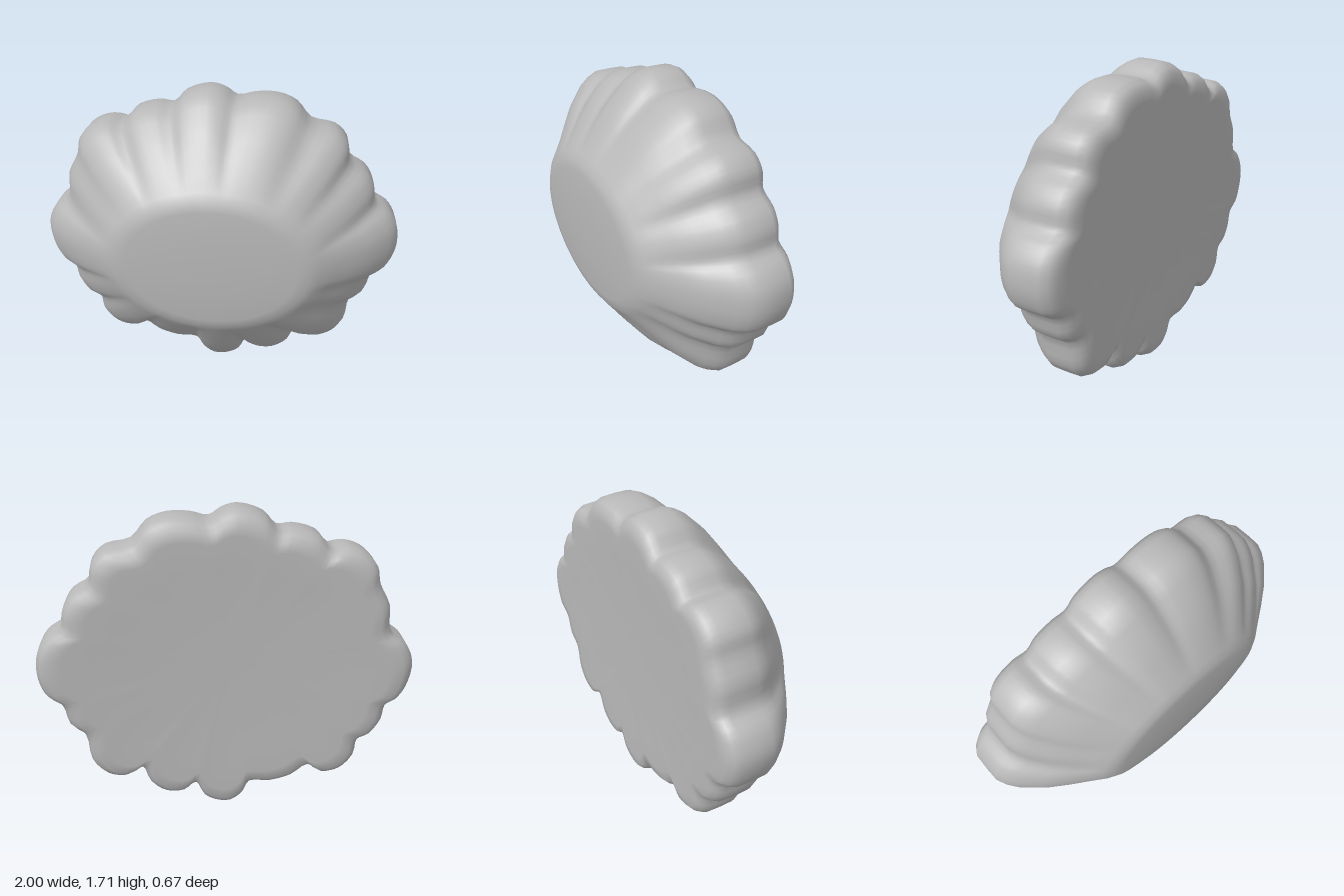
import * as THREE from 'three';

// Lobes of the scalloped rim, counterclockwise; each row ends in the valley between two lobes
const LOBES = [
  [[1, 0.88], [0.985, 0.98], [0.93, 1.06], [0.855, 1.11]],
  [[0.84, 1.2], [0.79, 1.28], [0.7, 1.34]],
  [[0.68, 1.44], [0.61, 1.51], [0.48, 1.54]],
  [[0.4, 1.63], [0.3, 1.67], [0.18, 1.67], [0.085, 1.65]],
  [[0.02, 1.69], [-0.06, 1.71], [-0.19, 1.67], [-0.26, 1.6]],
  [[-0.34, 1.605], [-0.46, 1.57], [-0.53, 1.5]],
  [[-0.61, 1.51], [-0.7, 1.48], [-0.77, 1.41], [-0.79, 1.32]],
  [[-0.85, 1.2], [-0.865, 1.06]],
  [[-0.95, 0.99], [-1, 0.88], [-0.99, 0.76], [-0.95, 0.67], [-0.88, 0.62]],
  [[-0.86, 0.52], [-0.81, 0.44], [-0.74, 0.4]],
  [[-0.72, 0.29], [-0.65, 0.21], [-0.55, 0.19], [-0.47, 0.24]],
  [[-0.37, 0.17], [-0.25, 0.135], [-0.13, 0.135]],
  [[-0.09, 0.06], [-0.02, 0.005], [0.06, 0.01], [0.13, 0.05], [0.18, 0.14]],
  [[0.25, 0.09], [0.35, 0.09], [0.43, 0.15], [0.48, 0.26]],
  [[0.58, 0.21], [0.68, 0.23], [0.75, 0.32], [0.775, 0.48]],
  [[0.85, 0.55], [0.885, 0.67]],
  [[0.96, 0.73], [0.99, 0.8]],
];
const CY = 0.885; // height of the centre

// Front plateau to rim to back: [z, blend from ellipse to rim, scale about the centre]
const RINGS = [
  [0.333, 0, 0.4], [0.325, 0, 0.8], [0.312, 0, 0.92], [0.285, 0.02, 1],
  [0.24, 0.17, 1], [0.17, 0.41, 1], [0.1, 0.63, 1], [0.0, 0.87, 1],
  [-0.05, 0.95, 1], [-0.1, 1, 1], [-0.17, 1, 1], [-0.24, 1, 0.995],
  [-0.28, 1, 0.97], [-0.308, 1, 0.93], [-0.313, 1, 0.86], [-0.308, 0.7, 0.8],
  [-0.304, 0.3, 0.6],
];

export function createModel() {
  const group = new THREE.Group();
  group.name = 'scallopedDome';
  const grey = new THREE.MeshStandardMaterial({ color: 0xb8b8b8 });
  grey.name = 'grey';

  // Smooth closed rim curve
  const pts = LOBES.flat().map(([x, y]) => new THREE.Vector3(x, y - CY, 0));
  const curve = new THREE.CatmullRomCurve3(pts, true, 'centripetal');
  const n = pts.length * 3;
  const pos = [0, CY, 0.335];
  const index = [];

  for (const [z, t, s] of RINGS) {
    for (let j = 0; j < n; j++) {
      const p = curve.getPoint(j / n);
      const a = Math.atan2(p.y / 0.83, p.x);
      const x = s * THREE.MathUtils.lerp(0.57 * Math.cos(a), p.x, t);
      const y = s * THREE.MathUtils.lerp(0.42 * Math.sin(a), p.y, t);
      // the back rim leans slightly backwards at both sides
      const lean = z < -0.2 ? 0.025 * x * x : 0;
      pos.push(x, y + CY, z - lean);
    }
  }
  pos.push(0, CY, -0.302);

  // Caps and side bands
  const last = RINGS.length - 1;
  const end = 1 + RINGS.length * n;
  for (let j = 0; j < n; j++) {
    const k = (j + 1) % n;
    index.push(0, 1 + j, 1 + k);
    for (let r = 0; r < last; r++) {
      const a = 1 + r * n + j, b = 1 + r * n + k;
      index.push(a, a + n, b + n, a, b + n, b);
    }
    index.push(1 + last * n + j, end, 1 + last * n + k);
  }

  const geo = new THREE.BufferGeometry();
  geo.setAttribute('position', new THREE.Float32BufferAttribute(pos, 3));
  geo.setIndex(index);
  geo.computeVertexNormals();
  const body = new THREE.Mesh(geo, grey);
  body.name = 'domeBody';
  group.add(body);
  return group;
}
